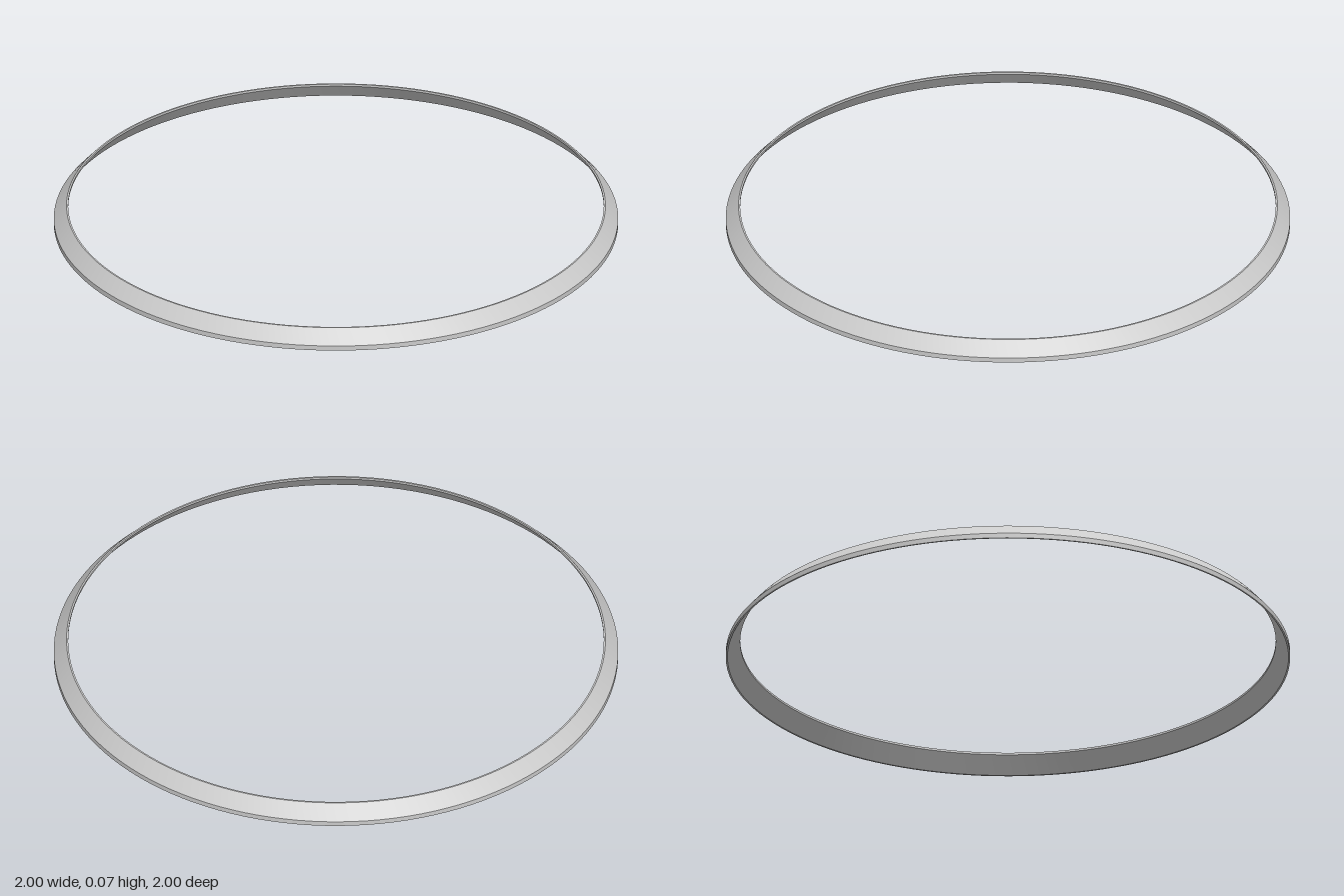
import * as THREE from 'three';
import { toCreasedNormals } from 'three/addons/utils/BufferGeometryUtils.js';

export function createModel() {
  const group = new THREE.Group();
  group.name = 'bevelledRing';

  // Closed cross-section (radius, height): rim, outer bevel, flat top, inner lip, inner bevel, foot
  const profile = [
    [1, 0], [1, 0.018], [0.955, 0.068], [0.949, 0.068],
    [0.949, 0.06], [0.994, 0], [1, 0],
  ].map(([r, y]) => new THREE.Vector2(r, y));

  // Smooth around the ring, sharp along the profile corners
  const geometry = toCreasedNormals(new THREE.LatheGeometry(profile, 128), 0.4);
  const ring = new THREE.Mesh(
    geometry,
    new THREE.MeshStandardMaterial({ color: 0xcccccc, side: THREE.DoubleSide }),
  );
  ring.name = 'ring';
  group.add(ring);
  return group;
}
